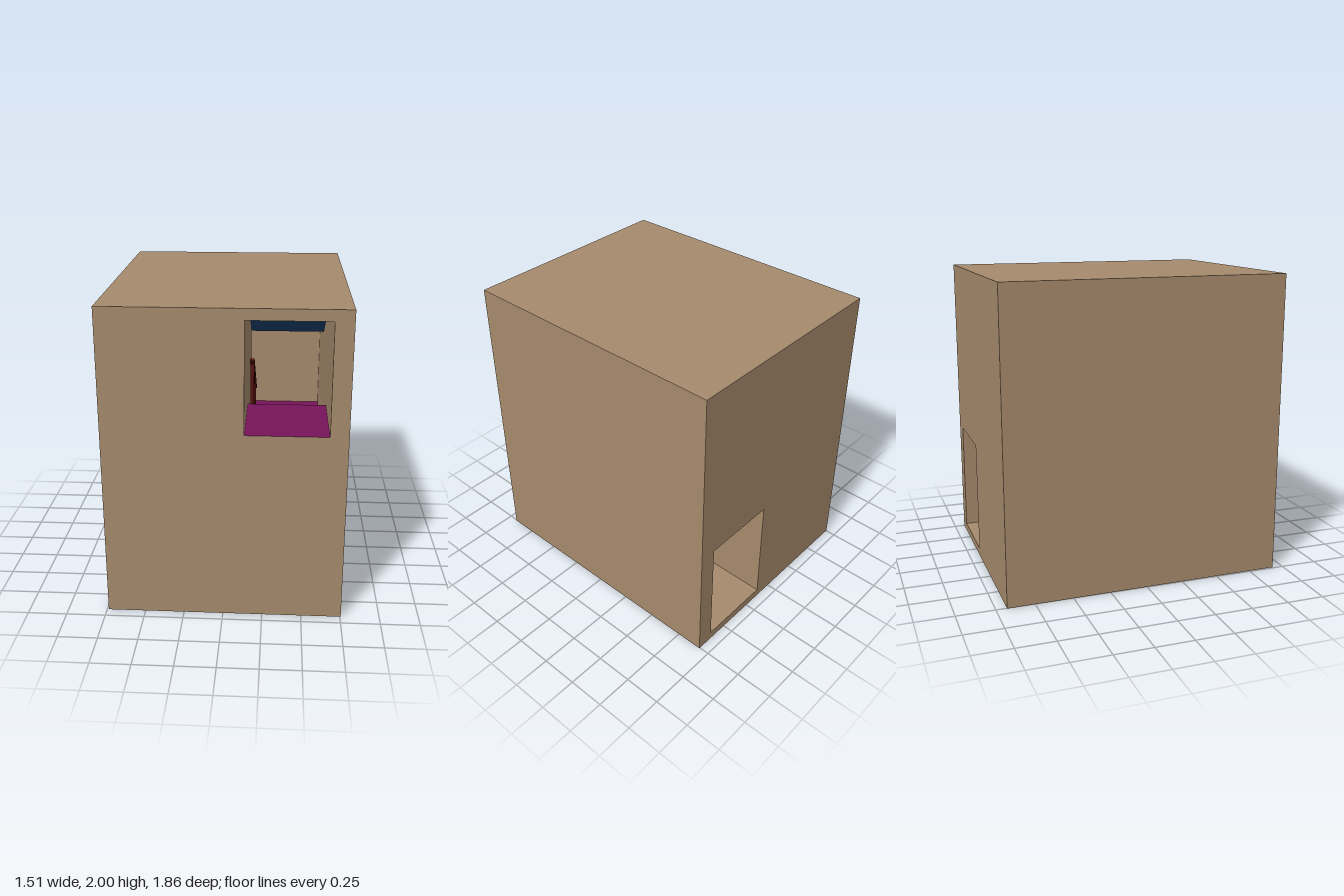
import * as THREE from 'three';

const mat = (color) => new THREE.MeshStandardMaterial({ color, side: THREE.DoubleSide, flatShading: true });
const tan = mat(0xa68a6c), blue = mat(0x1c4470), pink = mat(0x78145a), red = mat(0x5a1210);

// Main dimensions: block, lane edges, stairwell ends, landing depth
const W = 0.755, F = 0.93, IN = 0.13, OUT = 0.64, ZF = 0.36, ZB = -0.26, LAND = 0.82;
const Y = [1.23, 0.84, 0.45, 0.055]; // floor levels from upper entry to lower exit
const C = [1.93, 1.56, 1.17, 0.81]; // matching ceiling levels
const RISERS = 4;

function mesh(name, geometry, material) {
  const m = new THREE.Mesh(geometry, material);
  m.name = name;
  return m;
}

// Surface of quads between two matching polylines
function ribbon(name, a, b, material) {
  const p = [];
  for (let i = 0; i + 1 < a.length; i++) {
    p.push(...a[i], ...b[i], ...b[i + 1], ...a[i], ...b[i + 1], ...a[i + 1]);
  }
  const g = new THREE.BufferGeometry();
  g.setAttribute('position', new THREE.Float32BufferAttribute(p, 3));
  g.computeVertexNormals();
  return mesh(name, g, material);
}

// A (z, y) polyline swept across x
const sweep = (name, pts, x0, x1, material) =>
  ribbon(name, pts.map(([z, y]) => [x0, y, z]), pts.map(([z, y]) => [x1, y, z]), material);

// A (z, y) polygon standing at a given x
function sideWall(name, pts, x) {
  const g = new THREE.ShapeGeometry(new THREE.Shape(pts.map(([z, y]) => new THREE.Vector2(z, y))));
  return mesh(name, g.rotateY(-Math.PI / 2).translate(x, 0, 0), tan);
}

// Upright rectangle facing along z
const crossWall = (name, x0, x1, y0, y1, z) => sweep(name, [[z, y0], [z, y1]], x0, x1, tan);

// Step profile going down from (z0, y0) to (z1, y1)
function steps(z0, y0, z1, y1) {
  const pts = [[z0, y0]];
  for (let i = 0; i < RISERS; i++) {
    const z = z0 + ((z1 - z0) * i) / (RISERS - 1);
    pts.push([z, y0 + ((y1 - y0) * i) / RISERS], [z, y0 + ((y1 - y0) * (i + 1)) / RISERS]);
  }
  return pts.slice(1);
}

// Outer wall with one rectangular opening
function openWall(name, left, y0, y1, z, back) {
  const s = new THREE.Shape();
  s.moveTo(-left, 0).lineTo(W, 0).lineTo(W, 2).lineTo(-left, 2).closePath();
  const h = new THREE.Path();
  h.moveTo(IN, y0).lineTo(IN, y1).lineTo(OUT, y1).lineTo(OUT, y0).closePath();
  s.holes.push(h);
  const g = new THREE.ShapeGeometry(s);
  if (back) { // turn the faces to look backward
    const idx = g.index.array;
    for (let i = 0; i < idx.length; i += 3) [idx[i], idx[i + 1]] = [idx[i + 1], idx[i]];
    g.computeVertexNormals();
  }
  return mesh(name, g.translate(0, 0, z), tan);
}

// Flight number n with its sloped ceiling, side walls and railing
function flight(n, side) {
  const g = new THREE.Group();
  g.name = 'flight' + n;
  const [z0, z1] = n % 2 ? [ZB, ZF] : [ZF, ZB];
  const floor = steps(z0, Y[n], z1, Y[n + 1]);
  const ceil = [[z0, C[n]], [z1, C[n + 1]]];
  const [x0, x1] = side > 0 ? [IN, OUT] : [-OUT, -IN];
  g.add(sweep('stairs', floor, x0, x1, pink), sweep('slopedCeiling', ceil, x0, x1, blue));
  for (const x of [x0, x1]) g.add(sideWall('stairWall', [...floor, ceil[1], ceil[0]], x));

  // Railing on the core side: a post per tread and a sloped handrail
  const x = side * 0.157, run = z1 - z0, drop = Y[n + 1] - Y[n];
  for (let i = 0; i < RISERS - 1; i++) {
    const z = z0 + (run * (i + 0.3)) / (RISERS - 1);
    const base = Y[n] + (drop * (i + 1)) / RISERS;
    const top = Y[n] + 0.3 + (drop * (z - z0)) / run;
    const post = mesh('railPost', new THREE.BoxGeometry(0.024, top - base, 0.024), red);
    post.position.set(x, (top + base) / 2, z);
    g.add(post);
  }
  const rail = mesh('handrail', new THREE.BoxGeometry(0.03, 0.018, Math.hypot(run, drop)), red);
  rail.position.set(x, Y[n] + 0.3 + drop / 2, (z0 + z1) / 2);
  rail.rotation.x = -Math.atan2(drop, run);
  g.add(rail);
  return g;
}

// Level passage between two depths
function corridor(name, n, z0, z1, floorMaterial) {
  const g = new THREE.Group();
  g.name = name;
  const floor = [[z0, Y[n]], [z1, Y[n]]], ceil = [[z0, C[n]], [z1, C[n]]];
  g.add(sweep('floor', floor, IN, OUT, floorMaterial), sweep('ceiling', ceil, IN, OUT, blue));
  for (const x of [IN, OUT]) g.add(sideWall('corridorWall', [...floor, ceil[1], ceil[0]], x));
  return g;
}

// Landing joining both lanes
function landing(name, n, z0, z1) {
  const g = new THREE.Group();
  g.name = name;
  const floor = [[z0, Y[n]], [z1, Y[n]]], ceil = [[z0, C[n]], [z1, C[n]]];
  g.add(sweep('floor', floor, -OUT, OUT, pink), sweep('ceiling', ceil, -OUT, OUT, blue));
  for (const x of [-OUT, OUT]) g.add(sideWall('landingWall', [...floor, ceil[1], ceil[0]], x));
  g.add(crossWall('endWall', -OUT, OUT, Y[n], C[n], z1));
  g.add(crossWall('coreWall', -IN, IN, Y[n], C[n], z0));
  return g;
}

export function createModel() {
  const model = new THREE.Group();
  model.name = 'stairwellBlock';

  // Outer shell, slightly narrower at the front on one side
  const ring = (left, z) => [[-left, 0, z], [W, 0, z], [W, 2, z], [-left, 2, z], [-left, 0, z]];
  model.add(
    ribbon('outerShell', ring(0.74, F), ring(W, -F), tan),
    openWall('frontWall', 0.74, Y[0], C[0], F, false),
    openWall('backWall', W, Y[3], C[3], -F, true),
  );

  // Inside route from the upper front opening down to the lower back opening
  model.add(corridor('upperCorridor', 0, F, ZF, pink), flight(0, 1));
  model.add(landing('backLanding', 1, ZB, -LAND), flight(1, -1));
  model.add(landing('frontLanding', 2, ZF, LAND), flight(2, 1));
  model.add(corridor('lowerCorridor', 3, ZB, -F, tan));
  return model;
}
